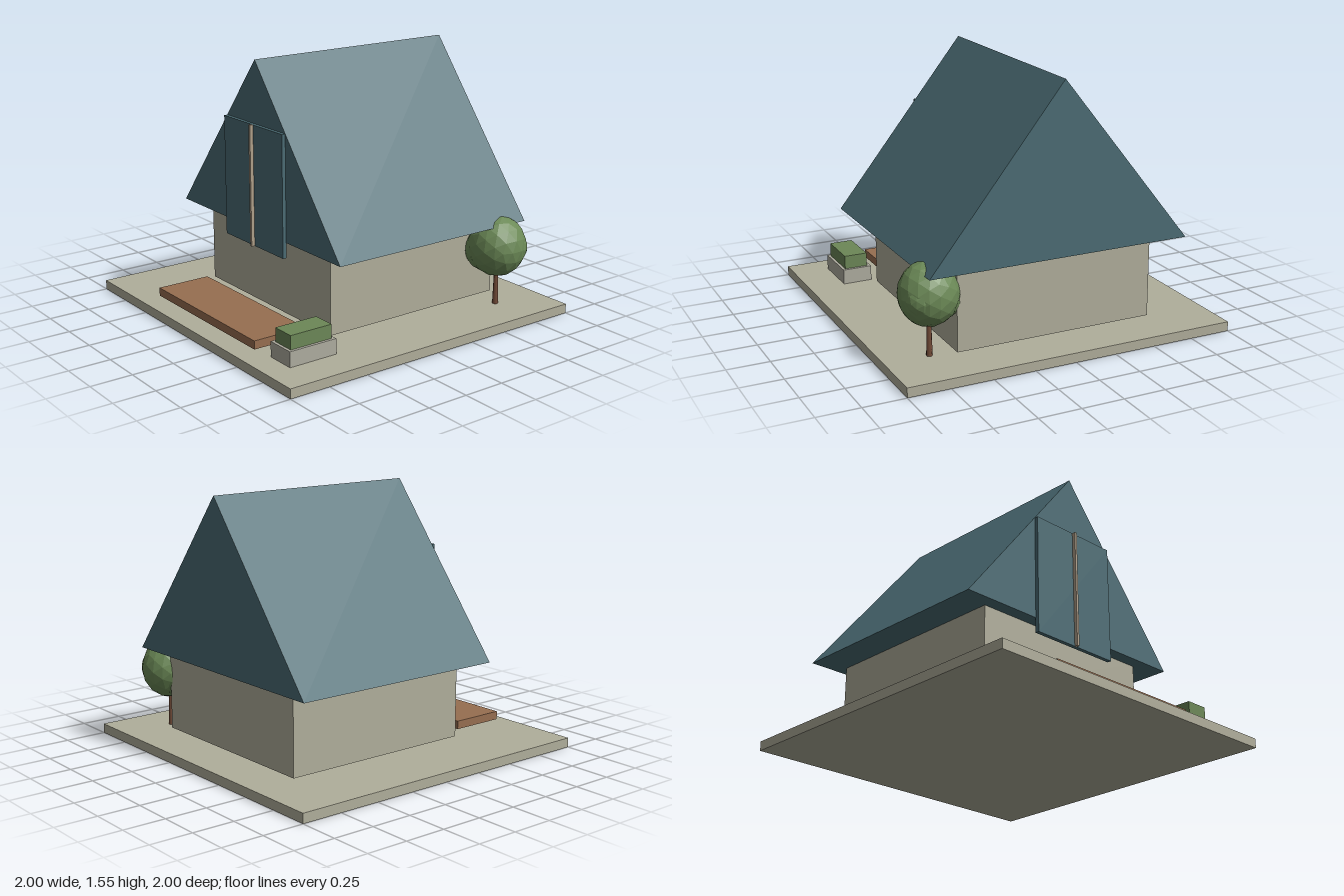
import * as THREE from 'three';

const mat = (name, color) => Object.assign(new THREE.MeshStandardMaterial({ color }), { name });

export function createModel() {
  const group = new THREE.Group();
  const stone = mat('warm stone', 0xb0ae9b);
  const concrete = mat('planter concrete', 0xaeac9f);
  const teal = mat('teal cladding', 0x4b6c74);
  const timber = mat('deck timber', 0x976e50);
  const trim = mat('pale trim', 0xb0a08a);
  const hedgeGreen = mat('hedge green', 0x6c8757);
  const bark = mat('bark', 0x744c38);
  const leaf = mat('leaf green', 0x6c8a57);
  leaf.flatShading = true;

  const add = (name, geometry, material, x = 0, y = 0, z = 0) => {
    const mesh = new THREE.Mesh(geometry, material);
    mesh.name = name;
    mesh.position.set(x, y, z);
    group.add(mesh);
    return mesh;
  };
  // Box given by its limits on each axis
  const box = (name, material, [x0, x1], [y0, y1], [z0, z1]) =>
    add(name, new THREE.BoxGeometry(x1 - x0, y1 - y0, z1 - z0), material,
      (x0 + x1) / 2, (y0 + y1) / 2, (z0 + z1) / 2);

  // Plot, walls and deck
  box('groundSlab', stone, [-1, 1], [0, 0.057], [-1, 1]);
  box('walls', stone, [-0.603, 0.603], [0.08, 0.57], [-0.755, 0.45]);
  box('deck', timber, [-0.512, 0.512], [0.08, 0.13], [0.56, 0.895]);

  // Gabled roof as a solid triangular prism
  const gable = new THREE.Shape([
    new THREE.Vector2(-0.795, 0.555),
    new THREE.Vector2(0.795, 0.555),
    new THREE.Vector2(0, 1.552),
  ]);
  add('roof', new THREE.ExtrudeGeometry(gable, { depth: 1.36, bevelEnabled: false }), teal, 0, 0, -0.832);

  // Front panel with its centre strip
  box('frontPanel', teal, [-0.293, 0.293], [0.465, 1.183], [0.525, 0.55]);
  box('centreStrip', trim, [-0.008, 0.008], [0.465, 1.183], [0.549, 0.571]);

  // Planter and hedge
  box('planter', concrete, [0.603, 0.783], [0.057, 0.148], [0.545, 0.85]);
  box('hedge', hedgeGreen, [0.624, 0.766], [0.148, 0.23], [0.563, 0.833]);

  // Tree with a faceted crown of overlapping clumps
  add('treeTrunk', new THREE.CylinderGeometry(0.012, 0.018, 0.24, 7), bark, 0.735, 0.177, -0.675);
  const clumps = [
    [0.735, 0.42, -0.675, 0.172, 0.185],
    [0.665, 0.385, -0.655, 0.13, 0.135],
    [0.785, 0.415, -0.72, 0.11, 0.11],
  ];
  for (const [x, y, z, r, ry] of clumps) {
    add('treeCrown', new THREE.IcosahedronGeometry(1, 2), leaf, x, y, z).scale.set(r, ry, r);
  }
  return group;
}
